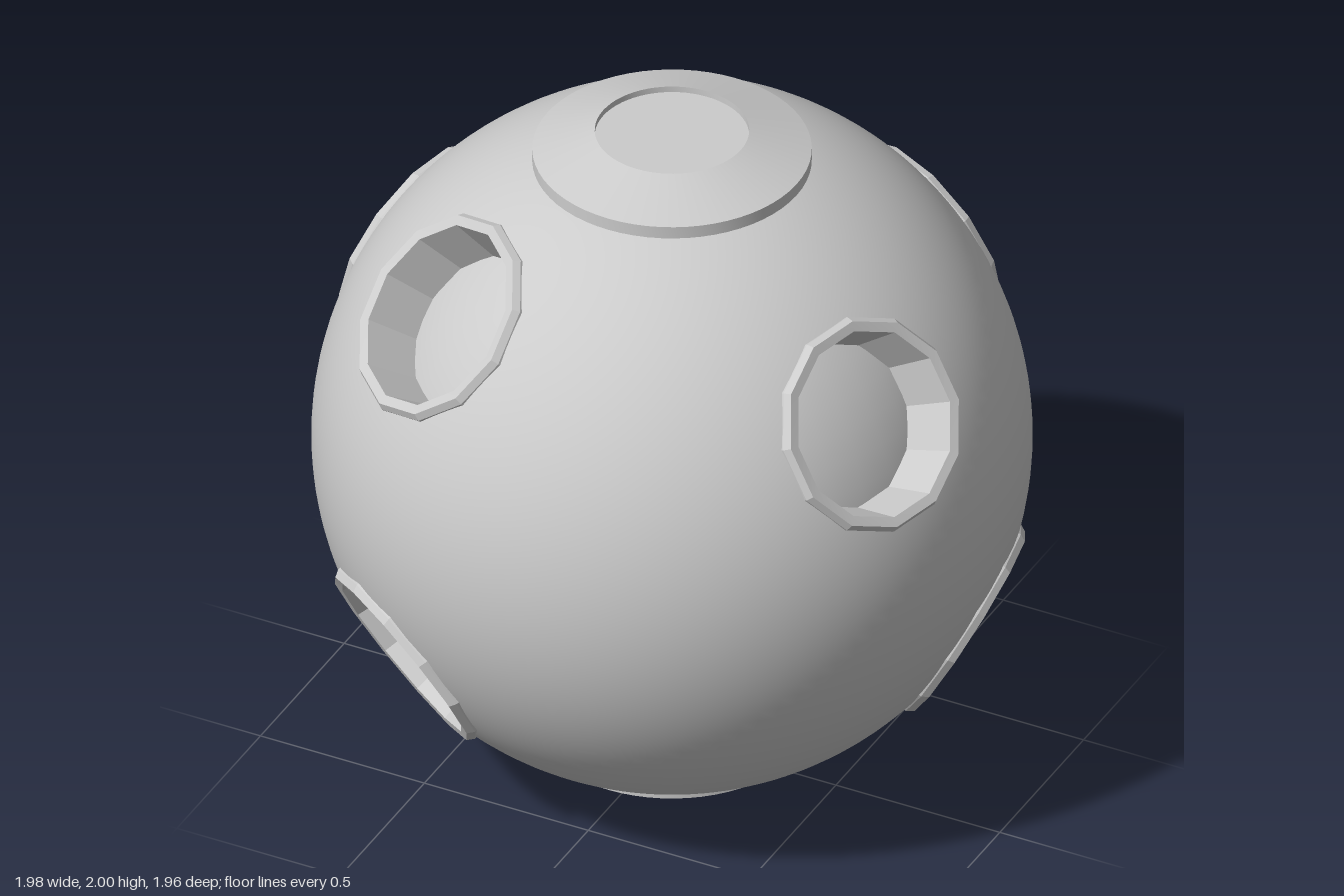
import * as THREE from 'three';
import { toCreasedNormals } from 'three/addons/utils/BufferGeometryUtils.js';

const R = 0.98;          // outer shell radius
const CUT = 0.285;       // radius of the round openings in the shell
const UP = new THREE.Vector3(0, 1, 0);

// Axes of the round ports, pointing out from the centre
const PORTS = [
  [-0.41, 0.62, 0.59], [-0.47, -0.46, 0.70], [0.77, 0.46, 0.31], [0.81, -0.47, -0.18],
  [0.35, 0.28, -0.85], [-0.89, 0.28, -0.19], [-0.54, -0.57, -0.54],
].map((p) => new THREE.Vector3(...p).normalize());

function lathe(profile, sides, crease) {
  const points = profile.map(([r, y]) => new THREE.Vector2(r, y));
  return toCreasedNormals(new THREE.LatheGeometry(points, sides), crease);
}

// Sphere with clean round openings: vertices inside a port move to its edge,
// and triangles lying wholly inside are left out
function shellGeometry() {
  const geo = new THREE.SphereGeometry(R, 112, 72);
  const pos = geo.attributes.position;
  const normal = geo.attributes.normal;
  const owner = new Array(pos.count).fill(-1);
  const v = new THREE.Vector3();
  const rim = Math.sqrt(R * R - CUT * CUT);
  for (let i = 0; i < pos.count; i++) {
    PORTS.forEach((axis, k) => {
      v.fromBufferAttribute(pos, i);
      const h = v.dot(axis);
      if (h < rim) return;
      owner[i] = k;
      v.addScaledVector(axis, -h).setLength(CUT).addScaledVector(axis, rim);
      pos.setXYZ(i, v.x, v.y, v.z);
      v.normalize();
      normal.setXYZ(i, v.x, v.y, v.z);
    });
  }
  const kept = [];
  const index = geo.index.array;
  for (let i = 0; i < index.length; i += 3) {
    const [a, b, c] = [index[i], index[i + 1], index[i + 2]];
    if (owner[a] < 0 || owner[b] < 0 || owner[c] < 0) kept.push(a, b, c);
  }
  geo.setIndex(kept);
  return geo;
}

export function createModel() {
  const model = new THREE.Group();
  model.name = 'portedSphere';
  const body = new THREE.Group();
  body.name = 'body';
  body.position.y = 1;
  model.add(body);

  const grey = new THREE.MeshStandardMaterial({ color: 0xcccccc });
  const add = (name, geometry) => {
    const mesh = new THREE.Mesh(geometry, grey);
    mesh.name = name;
    body.add(mesh);
    return mesh;
  };

  add('outerShell', shellGeometry());

  // Inner core, seen as the domed floor of each port
  add('innerCore', new THREE.SphereGeometry(0.83, 48, 32));

  // Port: bevelled twelve-sided rim with a tapering inner wall
  const portGeo = lathe([[0.3, 0.9], [0.3, 0.94], [0.288, 0.96], [0.26, 0.957], [0.225, 0.78]], 12, 0.4);
  PORTS.forEach((axis, i) => {
    add(`portRing${i + 1}`, portGeo).quaternion.setFromUnitVectors(UP, axis);
  });

  // Conical pole caps with a shallow round recess
  const capGeo = lathe([[0.38, 0.89], [0.38, 0.94], [0.21, 1], [0.21, 0.982], [0, 0.982]], 64, 0.3);
  add('topCap', capGeo);
  add('bottomCap', capGeo).rotation.x = Math.PI;

  return model;
}
